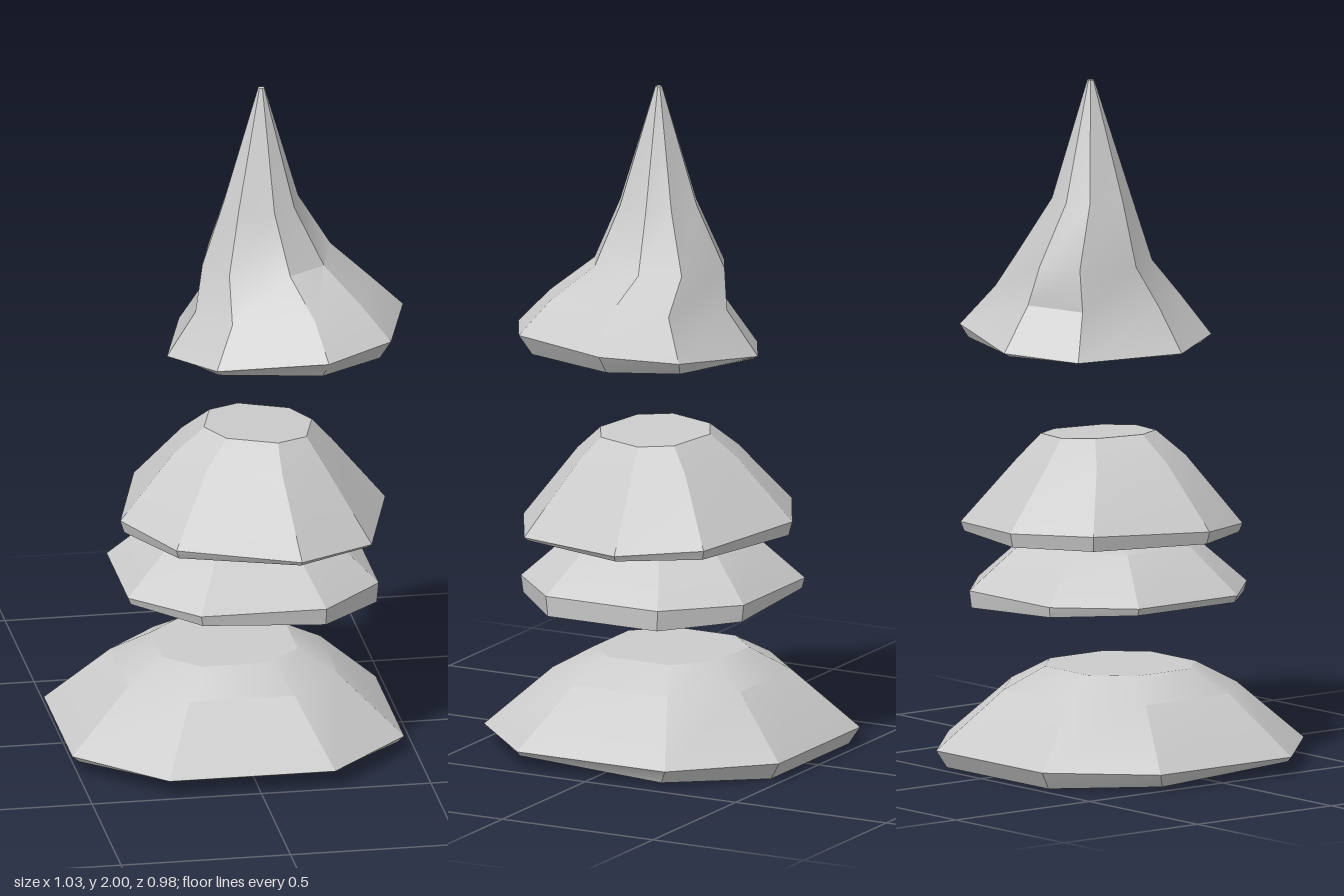
import * as THREE from 'three';
import { toCreasedNormals } from 'three/addons/utils/BufferGeometryUtils.js';

// Square with clipped corners, half-width 1, listed from +x towards +z
const OCTAGON = [[1, -0.5], [1, 0.5], [0.5, 1], [-0.5, 1], [-1, 0.5], [-1, -0.5], [-0.5, -1], [0.5, -1]];
const SIDES = OCTAGON.length;

// Closed loft through rings given as [half-width, cx, y, cz, slope along x, slope along z]
function loft(rings, turn) {
  const positions = [];
  const index = [];
  const c = Math.cos(turn), s = Math.sin(turn);
  for (const [half, cx, y, cz, slopeX = 0, slopeZ = 0] of rings) {
    for (const [u, v] of OCTAGON) {
      const dx = half * (u * c - v * s);
      const dz = half * (u * s + v * c);
      positions.push(cx + dx, y + slopeX * dx + slopeZ * dz, cz + dz);
    }
  }
  const last = (rings.length - 1) * SIDES;
  const bottomCentre = positions.length / 3;
  for (const [, cx, y, cz] of [rings[0], rings[rings.length - 1]]) positions.push(cx, y, cz);

  for (let j = 0; j < SIDES; j++) {
    const k = (j + 1) % SIDES;
    for (let base = 0; base < last; base += SIDES) {
      const a = base + j, b = base + k, d = a + SIDES, e = b + SIDES;
      index.push(a, d, b, b, d, e);
    }
    index.push(bottomCentre, j, k, bottomCentre + 1, last + k, last + j);
  }
  const geometry = new THREE.BufferGeometry();
  geometry.setAttribute('position', new THREE.Float32BufferAttribute(positions, 3));
  geometry.setIndex(index);
  return toCreasedNormals(geometry, 0.5);
}

export function createModel() {
  const group = new THREE.Group();
  const material = new THREE.MeshStandardMaterial({ color: 0xcccccc });
  const twist = THREE.MathUtils.degToRad(15.8);

  // Each tier: tilted underside, rim, shoulder, top
  const tiers = {
    bottomTier: [0, [
      [0.47, -0.025, 0.024, 0.012, 0, 0.05],
      [0.49, -0.025, 0.052, 0],
      [0.31, -0.025, 0.225, 0],
      [0.2, -0.025, 0.29, 0],
    ]],
    secondTier: [0, [
      [0.363, 0.032, 0.471, 0, -0.055],
      [0.37, 0.03, 0.512, 0],
      [0.234, 0.03, 0.645, 0],
      [0.15, 0.03, 0.692, 0],
    ]],
    thirdTier: [twist, [
      [0.358, 0.06, 0.668, 0, -0.02, -0.01],
      [0.368, 0.06, 0.695, 0, -0.05, -0.04],
      [0.22, 0.06, 0.89, 0, -0.04],
      [0.15, 0.075, 0.961, 0, -0.06],
    ]],
    // Flared hat drawn up into a point
    topTier: [twist, [
      [0.303, 0.145, 1.222, 0.005, 0.03, 0.01],
      [0.328, 0.1525, 1.252, 0.015, 0.1, 0.05],
      [0.242, 0.145, 1.367, 0.018, 0.08, 0.02],
      [0.178, 0.105, 1.475, -0.03, 0.04, 0],
      [0.105, 0.085, 1.65, -0.015],
      [0.009, 0.088, 2, -0.018],
    ]],
  };

  for (const [name, [turn, rings]] of Object.entries(tiers)) {
    const mesh = new THREE.Mesh(loft(rings, turn), material);
    mesh.name = name;
    group.add(mesh);
  }
  return group;
}
